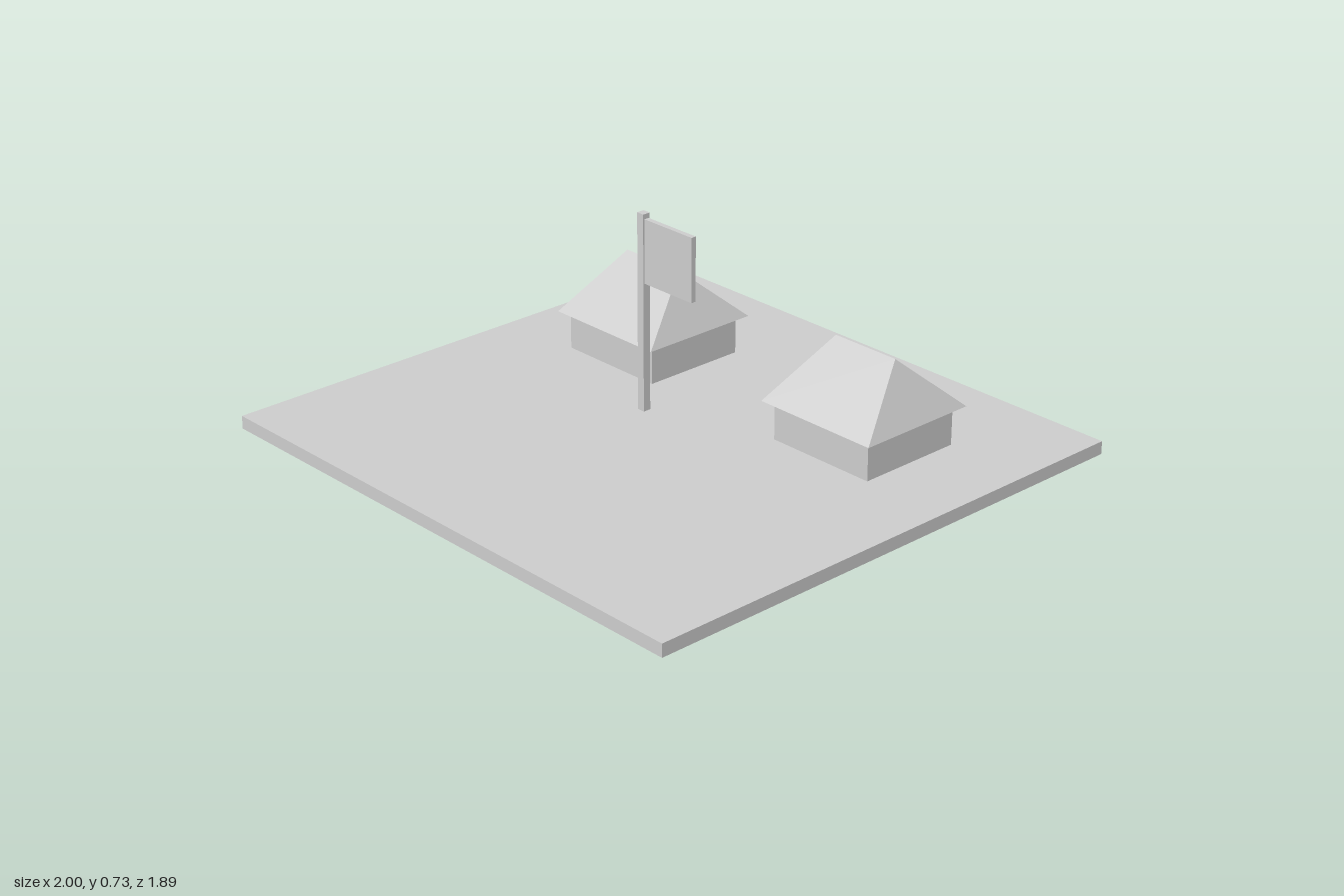
import * as THREE from 'three';

const lightGrey = new THREE.MeshStandardMaterial({ color: 0xcccccc });
lightGrey.name = 'lightGrey';

// Box given by its size, bottom height and centre
function box(name, w, h, d, x, y, z) {
  const mesh = new THREE.Mesh(new THREE.BoxGeometry(w, h, d), lightGrey);
  mesh.name = name;
  mesh.position.set(x, y + h / 2, z);
  return mesh;
}

// Hipped roof: a box whose top face is drawn in to a ridge along x
function hipRoof(w, h, d, ridge) {
  const box = new THREE.BoxGeometry(w, h, d);
  const p = box.attributes.position;
  for (let i = 0; i < p.count; i++) {
    if (p.getY(i) > 0) {
      p.setX(i, Math.sign(p.getX(i)) * ridge / 2);
      p.setZ(i, 0);
    }
  }
  // Drop the collapsed top face (third group of the box)
  const index = Array.from(box.index.array);
  index.splice(12, 6);
  box.setIndex(index);
  box.clearGroups();
  const geometry = box.toNonIndexed();
  // Drop the collapsed half of each gable-end quad
  const src = geometry.attributes.position;
  const kept = [];
  const [a, b, c] = [0, 1, 2].map(() => new THREE.Vector3());
  for (let i = 0; i < src.count; i += 3) {
    [a, b, c].forEach((v, k) => v.fromBufferAttribute(src, i + k));
    if (new THREE.Triangle(a, b, c).getArea() > 1e-6) {
      [a, b, c].forEach((v) => kept.push(v.x, v.y, v.z));
    }
  }
  const roof = new THREE.BufferGeometry();
  roof.setAttribute('position', new THREE.Float32BufferAttribute(kept, 3));
  roof.computeVertexNormals();
  return roof;
}

export function createModel() {
  const model = new THREE.Group();
  model.name = 'courtyard';

  // Ground slab
  model.add(box('groundSlab', 2, 0.045, 1.89, 0, 0, 0));

  // Two huts, mirrored about x = 0, with roofs set just above the walls
  const roofGeometry = hipRoof(0.465, 0.195, 0.444, 0.255);
  for (const side of [-1, 1]) {
    const hut = new THREE.Group();
    hut.name = side < 0 ? 'rightHut' : 'leftHut';
    hut.position.set(side * 0.49, 0, -0.384);
    hut.add(box('walls', 0.406, 0.117, 0.382, 0, 0.045, 0));
    const roof = new THREE.Mesh(roofGeometry, lightGrey);
    roof.name = 'roof';
    roof.position.y = 0.179 + 0.195 / 2;
    hut.add(roof);
    model.add(hut);
  }

  // Flagpole and flag
  const flag = new THREE.Group();
  flag.name = 'flagpole';
  flag.position.set(-0.16, 0, -0.043);
  flag.add(box('pole', 0.028, 0.682, 0.028, 0, 0.045, 0));
  flag.add(box('flag', 0.22, 0.219, 0.018, 0.121, 0.491, 0));
  model.add(flag);

  return model;
}
